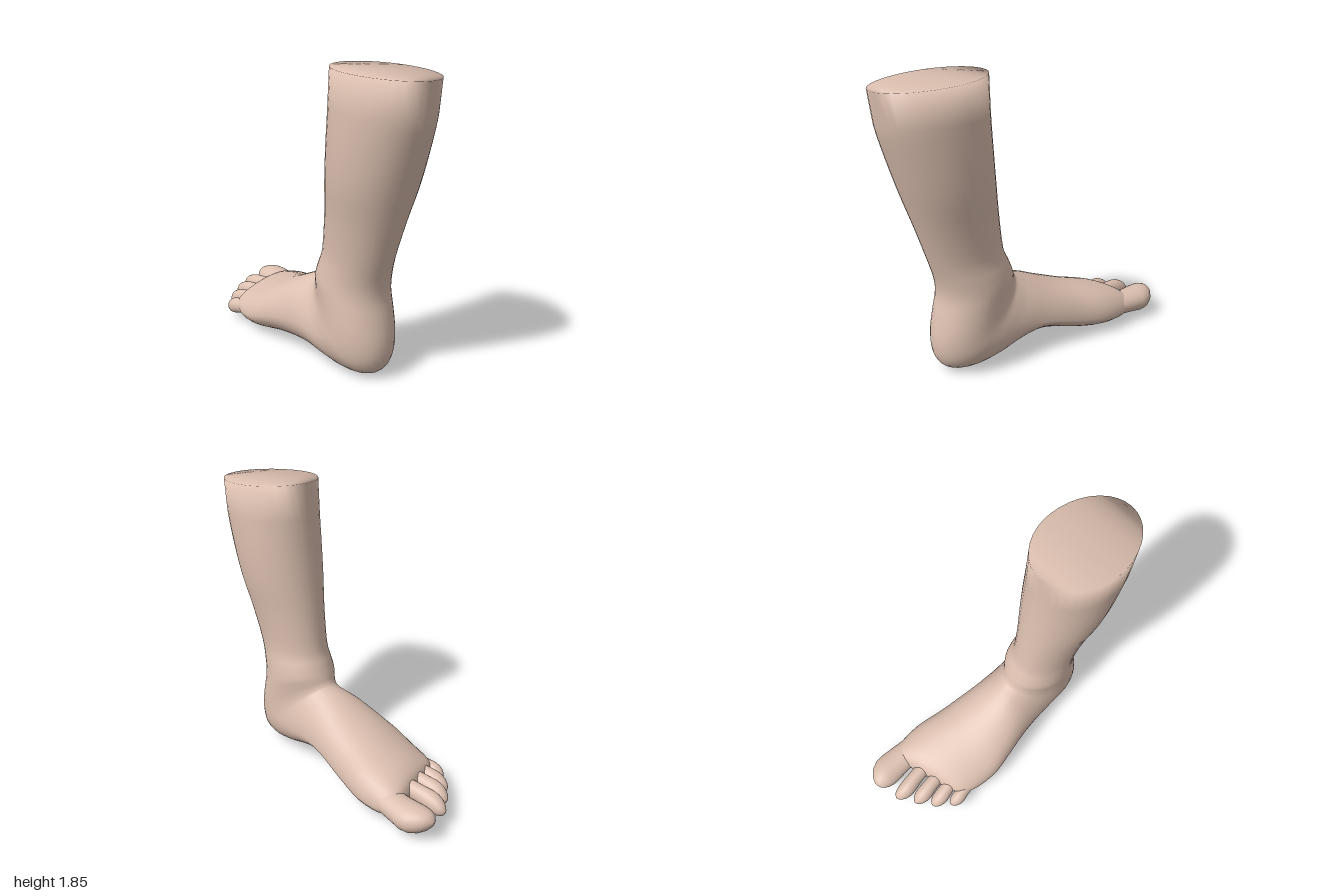
import * as THREE from 'three';

const SIDES = 36;

// Closed smooth skin over a list of rings (each SIDES points), both ends capped.
function skin(rings, material, name) {
  const pos = [], idx = [];
  rings.forEach(r => r.forEach(p => pos.push(p.x, p.y, p.z)));
  for (let i = 0; i < rings.length - 1; i++) {
    for (let j = 0; j < SIDES; j++) {
      const a = i * SIDES + j, b = i * SIDES + (j + 1) % SIDES;
      idx.push(a, b, a + SIDES, b, b + SIDES, a + SIDES);
    }
  }
  const last = (rings.length - 1) * SIDES;
  for (let k = 0; k < SIDES / 2; k++) {
    const p = k, q = k + 1, r = (SIDES - k) % SIDES, s = SIDES - k - 1;
    if (p !== r) idx.push(p, r, s, last + p, last + s, last + r);
    if (q !== s) idx.push(p, s, q, last + p, last + q, last + s);
  }
  const geo = new THREE.BufferGeometry();
  geo.setAttribute('position', new THREE.Float32BufferAttribute(pos, 3));
  geo.setIndex(idx);
  geo.computeVertexNormals();
  const mesh = new THREE.Mesh(geo, material);
  mesh.name = name;
  return mesh;
}

// Section rows: [front z, front y, back z, back y, centre x, half width, widest point from back]
const legRows = [
  [0.29, 1.855, 1.0, 1.808, -0.005, 0.262, 0.53],
  [0.285, 1.63, 0.972, 1.61, -0.005, 0.267, 0.53],
  [0.27, 1.40, 0.91, 1.40, -0.005, 0.265, 0.52],
  [0.25, 1.20, 0.84, 1.19, -0.005, 0.25, 0.5],
  [0.225, 1.0, 0.765, 0.98, -0.005, 0.217, 0.5],
  [0.19, 0.76, 0.69, 0.76, -0.005, 0.196, 0.5],
  [0.155, 0.67, 0.645, 0.61, 0, 0.206, 0.5],
  [0.13, 0.61, 0.637, 0.50, 0, 0.215, 0.5],
  [0.118, 0.58, 0.662, 0.38, 0, 0.216, 0.48],
  [0.11, 0.56, 0.685, 0.24, 0, 0.216, 0.46],
  [0.10, 0.545, 0.675, 0.12, 0, 0.217, 0.44],
];
const footRows = [
  [0.09, 0.535, 0.62, 0.04, 0, 0.22, 0.42],
  [0.07, 0.525, 0.50, 0.01, 0, 0.222, 0.42],
  [0.04, 0.513, 0.35, 0.02, -0.005, 0.226, 0.42],
  [0.01, 0.50, 0.20, 0.045, -0.01, 0.232, 0.42],
  [-0.04, 0.478, 0.03, 0.05, -0.015, 0.245, 0.41],
  [-0.15, 0.428, -0.13, 0.042, -0.02, 0.27, 0.4],
  [-0.30, 0.37, -0.30, 0.015, -0.02, 0.298, 0.39],
  [-0.44, 0.325, -0.45, 0.005, -0.002, 0.316, 0.39],
  [-0.57, 0.283, -0.57, 0.014, 0, 0.307, 0.4],
  [-0.64, 0.25, -0.64, 0.045, 0, 0.285, 0.43],
  [-0.68, 0.215, -0.68, 0.075, 0, 0.25, 0.5],
  [-0.70, 0.17, -0.70, 0.11, 0, 0.2, 0.5],
];

function sectionRing([az, ay, bz, by, cx, w, f]) {
  const foot = THREE.MathUtils.smoothstep(-az, 0, 0.4);
  const skew = 0.32 * THREE.MathUtils.smoothstep(-az, 0.2, 0.62);
  const arch = 0.05 * Math.exp(-(((bz + 0.05) / 0.25) ** 2)) * (az < 0.1 ? 1 : 0);
  const ring = [];
  for (let j = 0; j < SIDES; j++) {
    const t = j / SIDES * Math.PI * 2, c = Math.cos(t), s = Math.sin(t);
    const p = f + c * (c > 0 ? 1 - f : f);
    // dorsal ridge leans to the big-toe side, the inner sole rises into the arch
    const x = cx + w * s + 0.05 * foot * Math.max(0, c) ** 2;
    const lift = arch * Math.max(0, s) * Math.max(0, -c) * 2;
    ring.push(new THREE.Vector3(x, by + (ay - by) * p + lift, bz + (az - bz) * p - skew * x));
  }
  return ring;
}

// Smoothly interpolated sections; the top span stays a single straight band.
function bodyRings(rows, steps) {
  const cr = (a, b, c, d, t) => 0.5 * (2 * b + (c - a) * t +
    (2 * a - 5 * b + 4 * c - d) * t * t + (3 * b - a - 3 * c + d) * t ** 3);
  const at = i => rows[THREE.MathUtils.clamp(i, 0, rows.length - 1)];
  const rings = [sectionRing(rows[0])];
  for (let i = 1; i < rows.length - 1; i++) {
    for (let k = 0; k < steps; k++) {
      rings.push(sectionRing(rows[i].map((v, n) =>
        cr(at(i - 1)[n], v, at(i + 1)[n], at(i + 2)[n], k / steps))));
    }
  }
  rings.push(sectionRing(rows[rows.length - 1]));
  return rings;
}

// Toe: slim neck, fuller pad and a rounded tip, following a bent path.
const toeProfile = [[0, 0.8], [0.2, 0.9], [0.4, 0.92], [0.55, 0.95], [0.68, 1.02], [0.78, 1.0],
  [0.87, 0.86], [0.94, 0.62], [0.98, 0.36], [1, 0.06]];

function toe(points, halfWidth, halfHeight, material, name) {
  const path = new THREE.CatmullRomCurve3(points.map(p => new THREE.Vector3(...p)));
  const rings = toeProfile.map(([u, r]) => {
    const c = path.getPointAt(u), ring = [];
    for (let j = 0; j < SIDES; j++) {
      const t = j / SIDES * Math.PI * 2;
      ring.push(new THREE.Vector3(c.x + halfWidth * r * Math.sin(t),
        c.y + halfHeight * r * Math.cos(t), c.z));
    }
    return ring;
  });
  return skin(rings, material, name);
}

export function createModel() {
  const group = new THREE.Group();
  group.name = 'foot';
  const skinTone = new THREE.MeshStandardMaterial({ color: 0xdcc0b0 });
  skinTone.name = 'skin';

  group.add(skin(bodyRings([...legRows, ...footRows], 3), skinTone, 'legAndFoot'));

  group.add(
    toe([[0.19, 0.15, -0.5], [0.215, 0.137, -0.72], [0.215, 0.128, -0.87], [0.19, 0.145, -1.0]],
      0.104, 0.083, skinTone, 'bigToe'),
    toe([[0.055, 0.16, -0.56], [0.04, 0.152, -0.74], [0.022, 0.13, -0.86], [0.025, 0.11, -0.955]],
      0.056, 0.063, skinTone, 'secondToe'),
    toe([[-0.05, 0.15, -0.52], [-0.068, 0.145, -0.68], [-0.084, 0.123, -0.79], [-0.085, 0.1, -0.88]],
      0.054, 0.061, skinTone, 'thirdToe'),
    toe([[-0.14, 0.14, -0.47], [-0.16, 0.135, -0.61], [-0.178, 0.112, -0.71], [-0.18, 0.09, -0.80]],
      0.052, 0.058, skinTone, 'fourthToe'),
    toe([[-0.235, 0.125, -0.42], [-0.25, 0.118, -0.54], [-0.264, 0.1, -0.63], [-0.262, 0.085, -0.70]],
      0.046, 0.054, skinTone, 'littleToe'),
  );
  return group;
}
